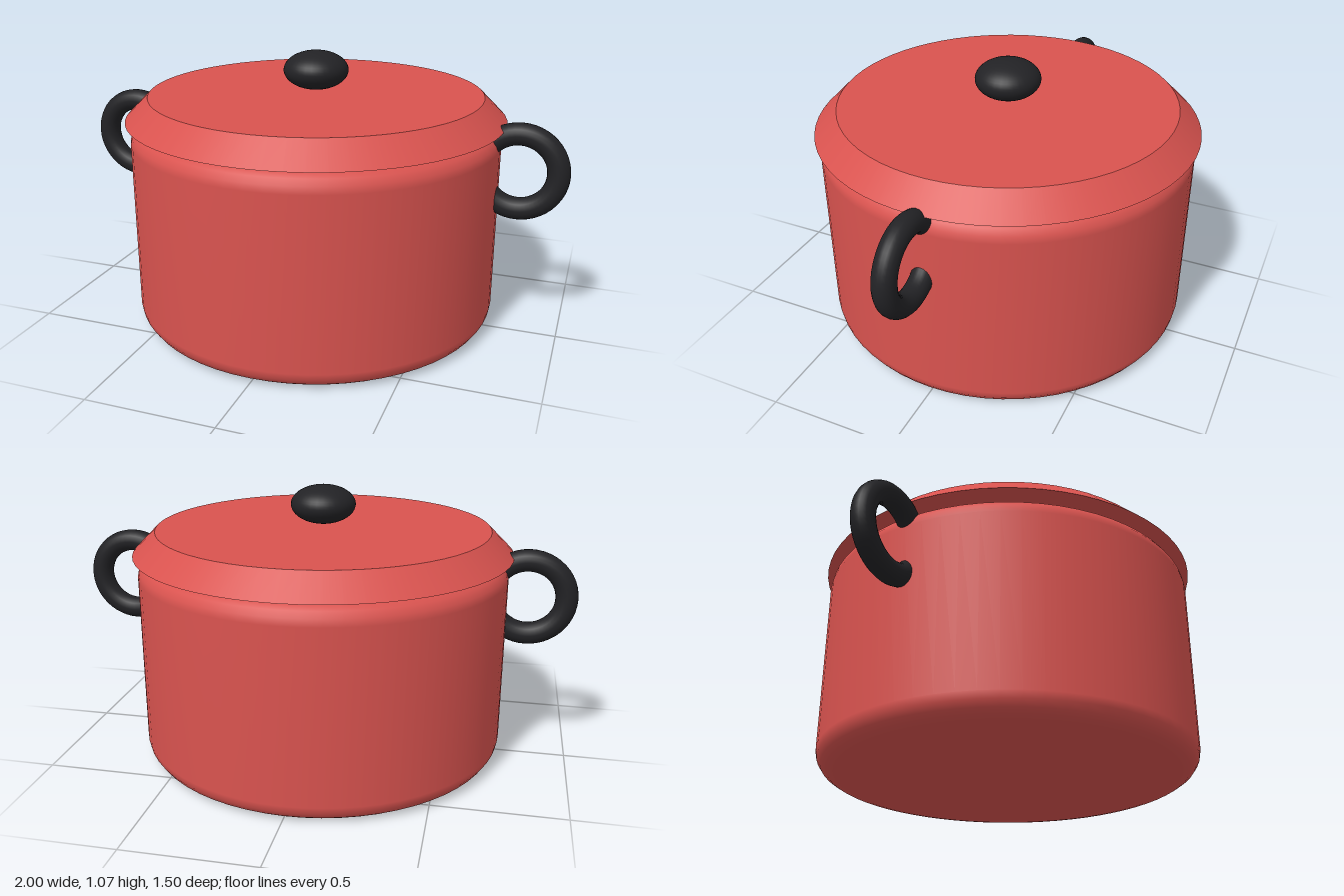
import * as THREE from 'three';

const red = new THREE.MeshStandardMaterial({ color: 0xd9534f });
const black = new THREE.MeshStandardMaterial({ color: 0x222225 });

function addPart(parent, name, geometry, material, x, y) {
  const mesh = new THREE.Mesh(geometry, material);
  mesh.name = name;
  mesh.position.set(x, y, 0);
  parent.add(mesh);
  return mesh;
}

// Closed round body with softly rounded bottom and top edges
function roundedDrum(radius, height, bevel) {
  const points = [new THREE.Vector2(0, 0), new THREE.Vector2(radius - bevel - 0.005, 0)];
  const steps = 4;
  for (const [centreY, start] of [[bevel, -Math.PI / 2], [height - bevel, 0]]) {
    for (let i = 0; i <= steps; i++) {
      const a = start + (i / steps) * Math.PI / 2;
      points.push(new THREE.Vector2(
        radius - bevel + bevel * Math.cos(a), centreY + bevel * Math.sin(a)));
    }
  }
  points.push(new THREE.Vector2(radius - bevel - 0.005, height), new THREE.Vector2(0, height));
  return new THREE.LatheGeometry(points, 64);
}

export function createModel() {
  const pot = new THREE.Group();
  pot.name = 'cookingPot';

  addPart(pot, 'body', roundedDrum(0.733, 0.808, 0.07), red, 0, 0);

  // Sloped lid hovering just above the body
  addPart(pot, 'lid', new THREE.CylinderGeometry(0.66, 0.75, 0.09, 64), red, 0, 0.866);

  // Flattened round knob
  const knob = addPart(pot, 'lidKnob', new THREE.SphereGeometry(0.128, 32, 24), black, 0, 0.998);
  knob.scale.y = 0.59;

  // Ring handles sunk into both sides
  for (const [name, side] of [['leftHandle', 1], ['rightHandle', -1]]) {
    addPart(pot, name, new THREE.TorusGeometry(0.147, 0.043, 20, 48), black, side * 0.81, 0.665);
  }
  return pot;
}
